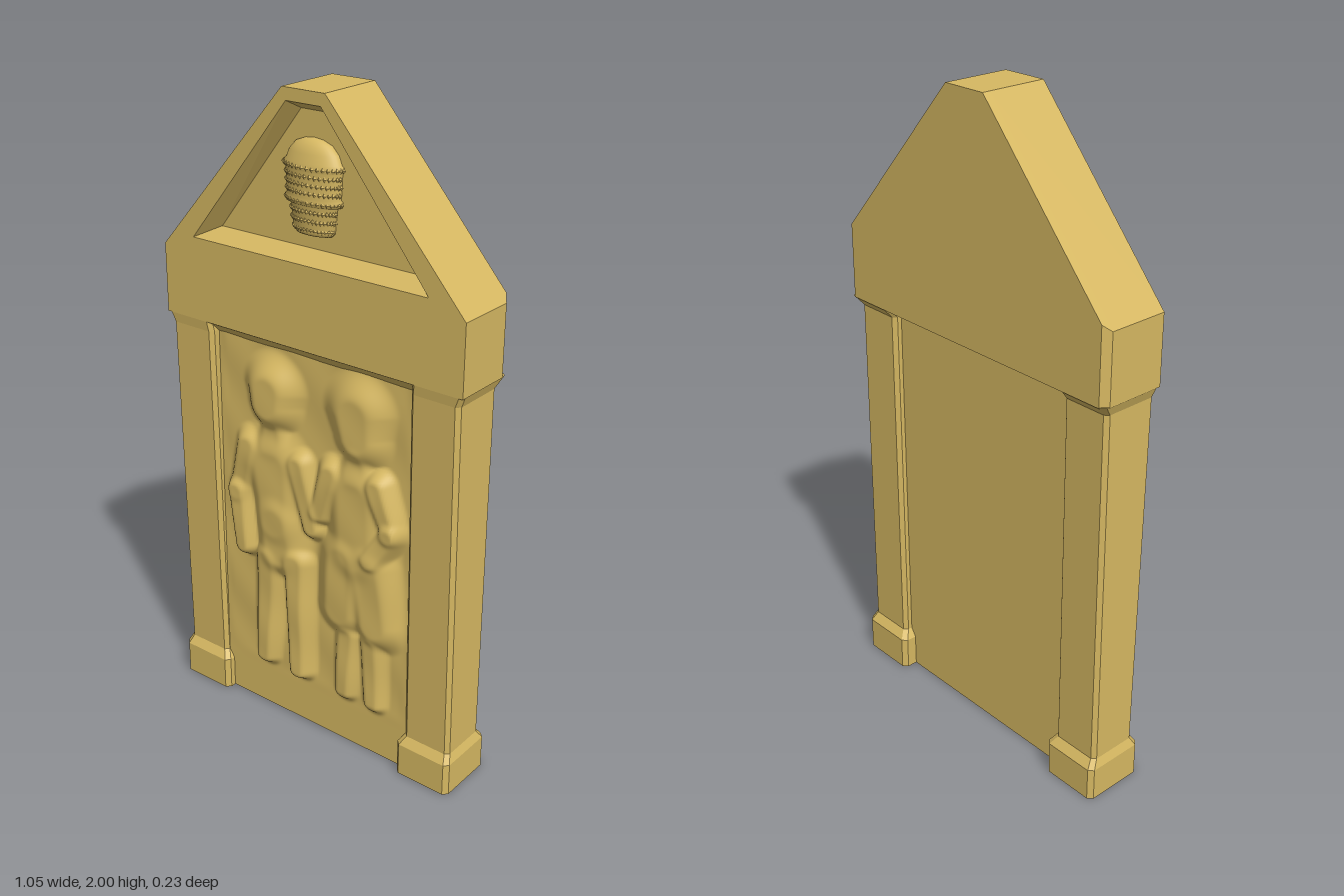
import * as THREE from 'three';

const material = new THREE.MeshStandardMaterial({ color: 0xd6b862 });

function add(parent, name, geometry) {
  const mesh = new THREE.Mesh(geometry, material);
  mesh.name = name;
  parent.add(mesh);
  return mesh;
}

// Skin a list of matching closed rings, with fan caps at both ends, sharp edges.
function loft(rings) {
  const pos = [];
  const tri = (a, b, c) => pos.push(...a, ...b, ...c);
  const n = rings[0].length;
  for (let i = 0; i < rings.length - 1; i++) {
    for (let j = 0; j < n; j++) {
      const k = (j + 1) % n;
      const [a, b, c, d] = [rings[i][j], rings[i][k], rings[i + 1][k], rings[i + 1][j]];
      tri(a, b, c);
      tri(a, c, d);
    }
  }
  const first = rings[0], last = rings[rings.length - 1];
  for (let j = 1; j < n - 1; j++) {
    tri(first[0], first[j + 1], first[j]);
    tri(last[0], last[j], last[j + 1]);
  }
  const g = new THREE.BufferGeometry();
  g.setAttribute('position', new THREE.Float32BufferAttribute(pos, 3));
  g.computeVertexNormals();
  return g;
}

// Horizontal rectangle with chamfered corners
function rectRing(y, x0, x1, z0, z1, c) {
  return [[x0 + c, y, z1], [x1 - c, y, z1], [x1, y, z1 - c], [x1, y, z0 + c],
    [x1 - c, y, z0], [x0 + c, y, z0], [x0, y, z0 + c], [x0, y, z1 - c]];
}

// Symmetric outline in the xy plane from its right half
function gableRing(z, half) {
  const right = half.map(([x, y]) => [x, y, z]);
  return [[-half[0][0], half[0][1], z], ...right,
    ...half.slice(1).reverse().map(([x, y]) => [-x, y, z])];
}

const smooth = (a, b, v) => THREE.MathUtils.smoothstep(v, a, b);

// Rounded strokes of the carved couple: x0, y0, x1, y1, start radius, end radius, height
const strokes = [
  // left figure: head, neck, torso, hips, arms, legs
  [-0.14, 1.12, -0.14, 1.08, 0.11, 0.1, 0.05],
  [-0.14, 1.0, -0.14, 0.95, 0.06, 0.08, 0.025],
  [-0.14, 0.87, -0.12, 0.7, 0.14, 0.11, 0.038],
  [-0.12, 0.7, -0.11, 0.6, 0.11, 0.11, 0.042],
  [-0.23, 0.92, -0.27, 0.76, 0.06, 0.055, 0.035],
  [-0.27, 0.76, -0.25, 0.58, 0.055, 0.05, 0.046],
  [-0.04, 0.91, 0.01, 0.72, 0.055, 0.05, 0.035],
  [-0.16, 0.56, -0.18, 0.2, 0.065, 0.05, 0.036],
  [-0.05, 0.58, -0.04, 0.2, 0.065, 0.05, 0.042],
  // right figure: head, neck, torso, skirt, arms, legs
  [0.17, 1.13, 0.18, 1.06, 0.12, 0.1, 0.042],
  [0.17, 1.0, 0.17, 0.95, 0.055, 0.08, 0.025],
  [0.17, 0.87, 0.18, 0.7, 0.13, 0.13, 0.04],
  [0.13, 0.66, 0.12, 0.48, 0.1, 0.1, 0.042],
  [0.22, 0.66, 0.25, 0.48, 0.1, 0.1, 0.042],
  [0.25, 0.93, 0.3, 0.8, 0.055, 0.05, 0.042],
  [0.3, 0.8, 0.24, 0.7, 0.05, 0.05, 0.046],
  [0.08, 0.92, 0.04, 0.78, 0.055, 0.05, 0.036],
  [0.14, 0.4, 0.13, 0.19, 0.055, 0.045, 0.03],
  [0.23, 0.4, 0.24, 0.19, 0.055, 0.045, 0.03],
];

function reliefHeight(x, y) {
  let sum = 0;
  for (const [x0, y0, x1, y1, r0, r1, h] of strokes) {
    const dx = x1 - x0, dy = y1 - y0;
    const t = THREE.MathUtils.clamp(((x - x0) * dx + (y - y0) * dy) / (dx * dx + dy * dy), 0, 1);
    const d = Math.hypot(x - x0 - t * dx, y - y0 - t * dy) / (r0 + t * (r1 - r0));
    const v = h * (1 - smooth(0.35, 1.15, d));
    sum += v ** 4;
  }
  const edge = smooth(0.36, 0.33, 0) * smooth(0, 0.04, 0.36 - Math.abs(x));
  const fade = smooth(0, 0.04, 0.36 - Math.abs(x)) * smooth(0.13, 0.19, y);
  return Math.max(edge, fade) * sum ** 0.25 + 0.003 * fade * Math.sin(23 * x + 5 * y) * Math.sin(19 * y);
}

// Domed ornament with studded bands
function createOrnament() {
  const ornament = new THREE.Group();
  ornament.name = 'gableOrnament';
  const profile = [[0, -0.13], [0.06, -0.13], [0.07, -0.12], [0.078, -0.05], [0.094, -0.045],
    [0.096, -0.03], [0.09, -0.025], [0.094, 0.045], [0.1, 0.05], [0.1, 0.062], [0.092, 0.068],
    [0.082, 0.092], [0.06, 0.115], [0.03, 0.126], [0, 0.129]];
  add(ornament, 'ornamentBody', new THREE.LatheGeometry(profile.map(p => new THREE.Vector2(...p)), 40));
  const stud = new THREE.OctahedronGeometry(0.008);
  const rows = [[0.069, -0.115], [0.074, -0.09], [0.077, -0.065], [0.094, -0.037],
    [0.091, -0.012], [0.092, 0.01], [0.093, 0.032], [0.1, 0.056]];
  rows.forEach(([r, y], i) => {
    for (let k = 0; k < 18; k++) {
      const a = (k + (i % 2) / 2) / 18 * Math.PI - Math.PI / 2;
      add(ornament, 'ornamentStud', stud).position.set(r * Math.sin(a), y, r * Math.cos(a));
    }
  });
  ornament.position.set(0, 1.74, 0.05);
  ornament.scale.z = 0.48;
  return ornament;
}

export function createModel() {
  const model = new THREE.Group();
  model.name = 'carvedStele';

  // Gable block with sunken, slope-sided triangle
  const outer = [[0.525, 1.28], [0.525, 1.49], [0.072, 2]];
  const back = [[0.508, 1.28], [0.508, 1.509], [0.072, 2]];
  const opening = [[0.41, 1.53], [0.405, 1.536], [0.058, 1.965]];
  const floor = [[0.34, 1.565], [0.335, 1.571], [0.045, 1.94]];
  add(model, 'gable', loft([
    gableRing(-0.113, back), gableRing(-0.09, outer), gableRing(0.098, outer),
    gableRing(0.098, opening), gableRing(0.05, floor),
  ]));

  // Sloped underside between the pillars
  add(model, 'lintelUnderside', loft([
    rectRing(1.245, -0.37, 0.37, -0.06, 0.06, 0.001),
    rectRing(1.285, -0.37, 0.37, -0.113, 0.098, 0.001),
  ]));

  // Pillars with foot blocks and flared tops
  for (const [name, s] of [['leftPillar', 1], ['rightPillar', -1]]) {
    const ring = (y, inner, out, z0, z1, c) =>
      rectRing(y, Math.min(s * inner, s * out), Math.max(s * inner, s * out), z0, z1, c);
    add(model, name, loft([
      ring(0, 0.337, 0.525, -0.107, 0.094, 0.014),
      ring(0.105, 0.337, 0.525, -0.107, 0.094, 0.014),
      ring(0.132, 0.355, 0.514, -0.086, 0.076, 0.012),
      ring(1.25, 0.355, 0.512, -0.086, 0.094, 0.012),
      ring(1.283, 0.36, 0.525, -0.113, 0.098, 0.012),
    ]));
  }

  // Panel slab and its carved face
  const slab = add(model, 'panel', new THREE.BoxGeometry(0.72, 1.27, 0.115));
  slab.position.set(0, 0.635, -0.0025);
  const carving = new THREE.PlaneGeometry(0.72, 1.27, 108, 190);
  carving.translate(0, 0.635, 0);
  const p = carving.attributes.position;
  for (let i = 0; i < p.count; i++) p.setZ(i, 0.062 + reliefHeight(p.getX(i), p.getY(i)));
  carving.computeVertexNormals();
  add(model, 'carvedRelief', carving);

  model.add(createOrnament());
  return model;
}
